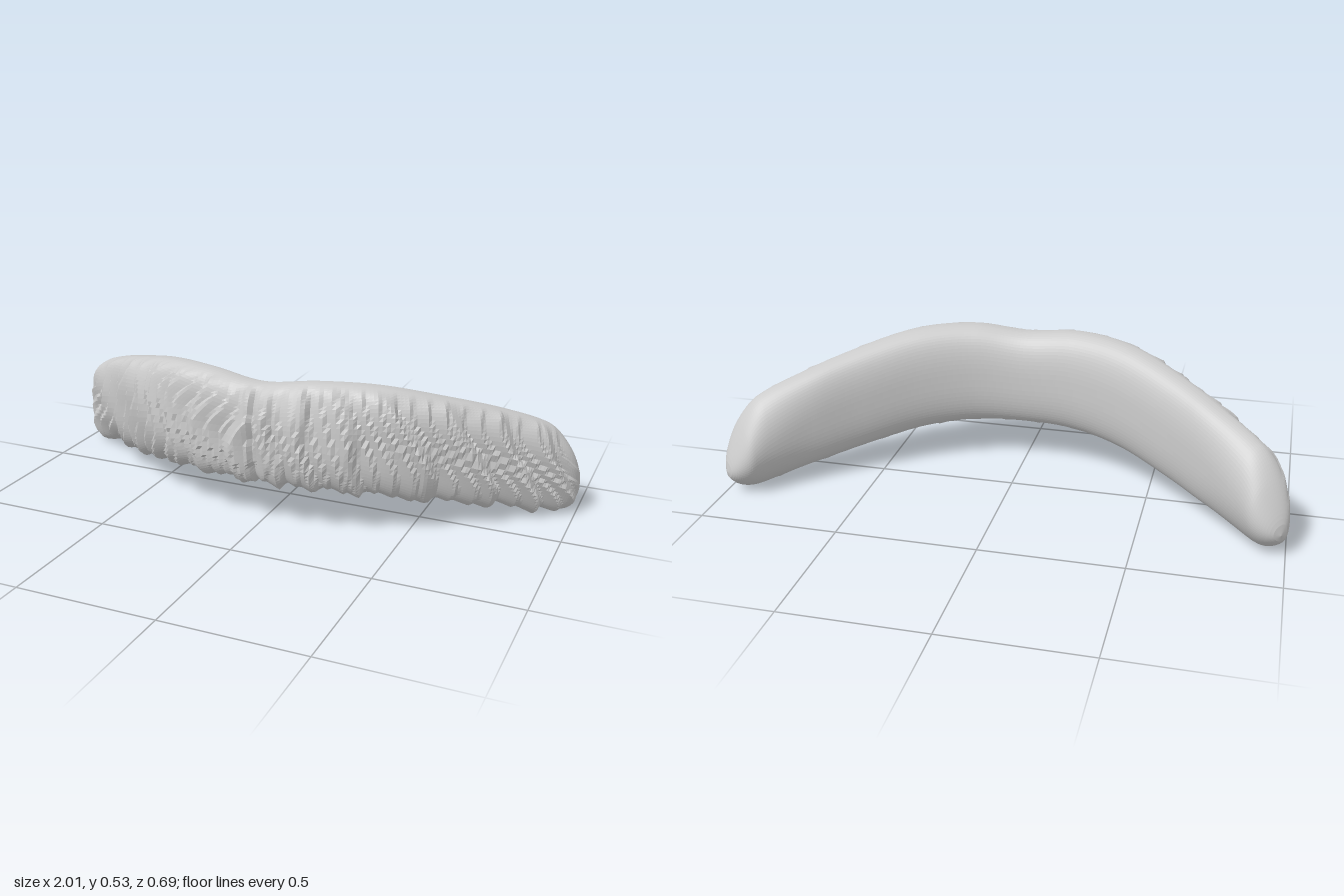
import * as THREE from 'three';

// Half of the symmetric band: spine x, spine z, half thickness, bottom y, top y
const STATIONS = [
  [0, 0.246, 0.091, 0.158, 0.515],
  [0.2, 0.224, 0.093, 0.155, 0.535],
  [0.4, 0.145, 0.092, 0.135, 0.523],
  [0.6, 0.013, 0.084, 0.092, 0.468],
  [0.75, -0.108, 0.08, 0.057, 0.413],
  [0.86, -0.204, 0.083, 0.022, 0.36],
  [0.93, -0.27, 0.082, 0.002, 0.3],
  [0.98, -0.324, 0.076, 0.004, 0.22],
];
const RINGS = 220, SIDES = 72, CAP = 0.085, CAP_HEIGHT = 0.15, CAP_Y = 0.09;

const mirrored = [
  ...STATIONS.slice(1).reverse().map(([x, ...rest]) => [-x, ...rest]),
  ...STATIONS,
];
const spine = new THREE.CatmullRomCurve3(mirrored.map(s => new THREE.Vector3(s[0], 0, s[1])), false, 'catmullrom', 0.5);
const size = new THREE.CatmullRomCurve3(mirrored.map(s => new THREE.Vector3(s[2], s[3], s[4])), false, 'catmullrom', 0.5);

const signedPow = (v, p) => Math.sign(v) * Math.pow(Math.abs(v), p);

// Quarter-circle falloff towards a tip
function dome(distance, reach) {
  const d = Math.min(1, distance / reach);
  return Math.sqrt(Math.max(0, 1 - (1 - d) ** 2));
}

// Overlapping tufts: each swells outward along the band, then drops off
function tuft(phase) {
  const f = phase - Math.floor(phase);
  return f < 0.82 ? f / 0.82 : (1 - f) / 0.18;
}

function ridges(x, y) {
  const ax = Math.abs(x), side = x < 0 ? 0.37 : 0;
  const lean = ax + y * (0.08 + 0.4 * ax) + 0.016 * Math.sin(y * 19 + x * 11);
  const big = tuft(lean * 7 + side + 0.35 * Math.sin(x * 7)) - 0.5;
  const fine = tuft(lean * 19 + side * 2 + 0.5 * Math.sin(y * 15 + x * 4)) - 0.5;
  const parting = -0.01 * Math.exp(-((x / 0.015) ** 2));
  return 0.022 * big + 0.011 * fine + parting;
}

function bandGeometry() {
  const positions = [], indices = [];
  const length = spine.getLength();
  for (let i = 0; i <= RINGS; i++) {
    // Rings crowd together near the rounded ends
    const k = (i / RINGS) * 2 - 1;
    const u = 0.5 + 0.5 * (0.55 * k + 0.45 * Math.sin(k * Math.PI / 2));
    const t = spine.getUtoTmapping(u);
    const c = spine.getPoint(t), tan = spine.getTangent(t), s = size.getPoint(t);
    const out = new THREE.Vector3(-tan.z, 0, tan.x);
    const toTip = Math.min(u, 1 - u) * length;
    const round = dome(toTip, CAP), roundY = dome(toTip, CAP_HEIGHT);
    // Boxy cross-section in the middle, egg-shaped and leaning forward at the ends
    const end = 1 - THREE.MathUtils.smoothstep(toTip, 0.05, 0.4);
    const power = 0.8 + 0.2 * end;
    const mid = (s.y + s.z) / 2, half = (s.z - s.y) / 2;
    for (let j = 0; j < SIDES; j++) {
      const a = (j / SIDES) * Math.PI * 2, ca = Math.cos(a), sa = Math.sin(a);
      let across = (s.x * signedPow(ca, power) + 0.02 * end * sa * sa) * round;
      let y = CAP_Y + (mid + half * signedPow(sa, power) - CAP_Y) * roundY;
      // Tufts only on the front and underside; the back stays smooth
      const front = THREE.MathUtils.smoothstep(ca - 0.3 * sa, -0.1, 0.5);
      const r = ridges(c.x, y) * front * round * Math.min(1, toTip / 0.12);
      across += r * Math.max(0.3, ca);
      y += r * sa;
      positions.push(c.x + out.x * across, Math.max(0, y), c.z + out.z * across);
    }
  }
  for (let i = 0; i < RINGS; i++) {
    for (let j = 0; j < SIDES; j++) {
      const n = (j + 1) % SIDES;
      const a = i * SIDES + j, b = a + SIDES, c = (i + 1) * SIDES + n, e = i * SIDES + n;
      indices.push(a, b, c, a, c, e);
    }
  }
  const g = new THREE.BufferGeometry();
  g.setAttribute('position', new THREE.Float32BufferAttribute(positions, 3));
  g.setIndex(indices);
  g.computeVertexNormals();
  return g;
}

export function createModel() {
  const group = new THREE.Group();
  group.name = 'curvedBand';
  const material = new THREE.MeshStandardMaterial({ color: 0xcccccc, flatShading: true });
  const band = new THREE.Mesh(bandGeometry(), material);
  band.name = 'tuftedBand';
  group.add(band);
  return group;
}
